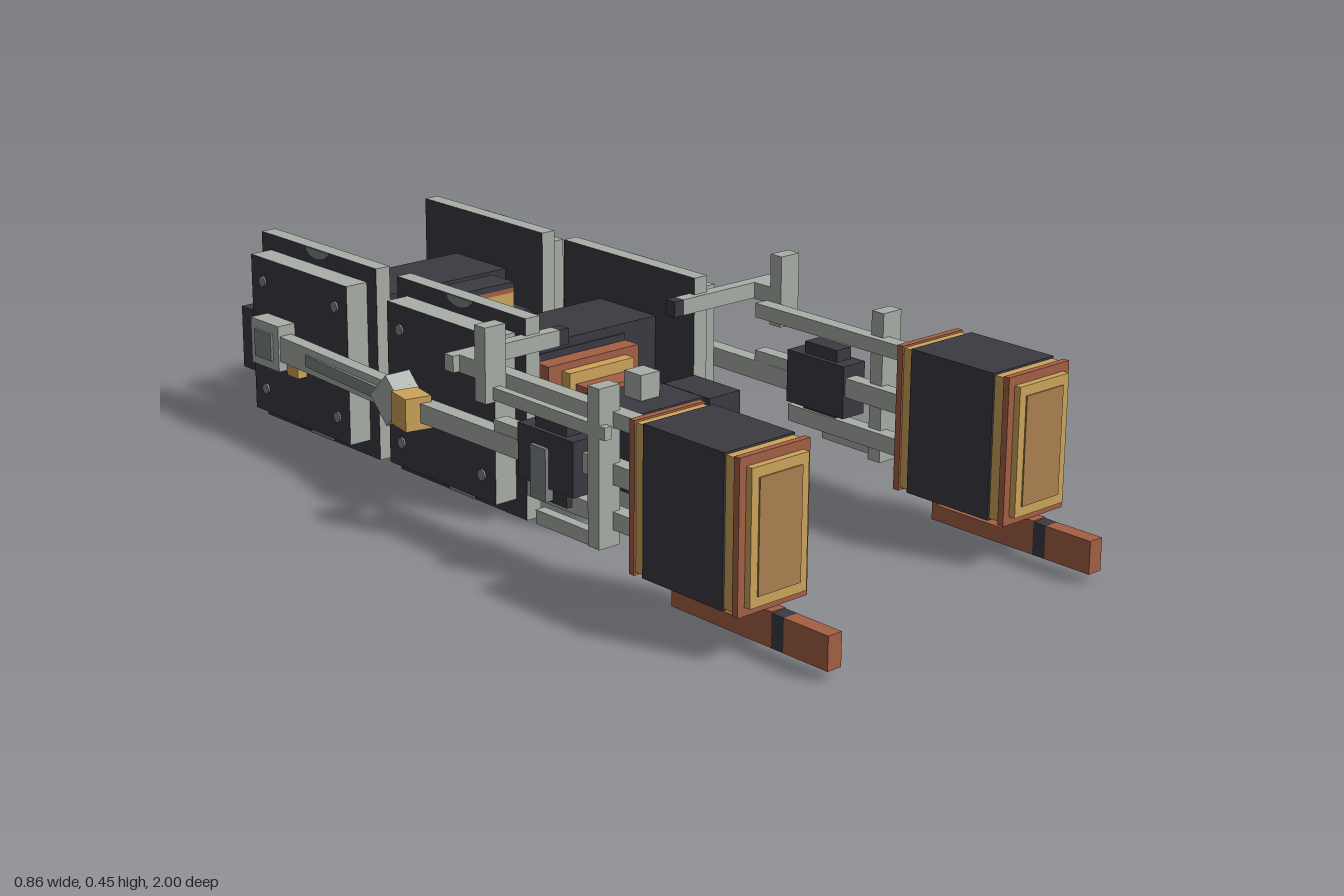
import * as THREE from 'three';

const mat = (name, color) => {
  const m = new THREE.MeshStandardMaterial({ color });
  m.name = name;
  return m;
};

export function createModel() {
  const dark = mat('dark steel', 0x3b3a42);
  const light = mat('light grey metal', 0xa9aea8);
  const grey = mat('mid grey metal', 0x7c8485);
  const gold = mat('gold', 0xcda55c);
  const bronze = mat('bronze', 0xac8150);
  const copper = mat('copper', 0xa45f45);
  const root = new THREE.Group();
  root.name = 'machine';

  // Box given by its limits on each axis
  const block = (parent, name, m, [x0, x1], [y0, y1], [z0, z1]) => {
    const mesh = new THREE.Mesh(
      new THREE.BoxGeometry(Math.abs(x1 - x0), y1 - y0, Math.abs(z1 - z0)), m);
    mesh.position.set((x0 + x1) / 2, (y0 + y1) / 2, (z0 + z1) / 2);
    mesh.name = name;
    parent.add(mesh);
    return mesh;
  };
  // Square bar between two points
  const bar = (parent, name, m, a, b, w, h) => {
    const p = new THREE.Vector3(...a), q = new THREE.Vector3(...b);
    const mesh = new THREE.Mesh(new THREE.BoxGeometry(w, h, p.distanceTo(q)), m);
    mesh.position.copy(p).add(q).multiplyScalar(0.5);
    mesh.lookAt(q);
    mesh.name = name;
    parent.add(mesh);
    return mesh;
  };
  // Cross-section with chamfered lower corners, extruded along z
  const pod = (parent, name, m, w, y0, y1, z0, z1, c) => {
    const s = new THREE.Shape([[-w, y1], [-w, y0 + c], [-w + c * 0.5, y0], [w - c * 0.5, y0], [w, y0 + c], [w, y1]]
      .map(([x, y]) => new THREE.Vector2(x, y)));
    const mesh = new THREE.Mesh(new THREE.ExtrudeGeometry(s, { depth: z1 - z0, bevelEnabled: false }), m);
    mesh.position.z = z0;
    mesh.name = name;
    parent.add(mesh);
  };

  // Central body: two pods with stepped gold and copper ends
  const body = new THREE.Group();
  body.name = 'body';
  root.add(body);
  for (const c of [-0.645, -0.155]) {
    pod(body, 'podCore', dark, 0.118, 0.06, 0.29, c - 0.09, c + 0.09, 0.08);
    pod(body, 'podCollar', gold, 0.112, 0.07, 0.265, c - 0.108, c + 0.108, 0.08);
    pod(body, 'podFrame', copper, 0.12, 0.06, 0.275, c - 0.13, c + 0.13, 0.08);
    pod(body, 'podEnd', gold, 0.085, 0.1, 0.26, c - 0.155, c + 0.155, 0.05);
    block(body, 'crossBlock', dark, [-0.205, 0.205], [0.07, 0.31], [c - 0.087, c + 0.087]);
    block(body, 'podBelly', dark, [-0.085, 0.085], [0.05, 0.1], [c - 0.15, c + 0.15]);
  }
  block(body, 'spine', copper, [-0.07, 0.07], [0.09, 0.235], [-0.85, 0.05]);
  block(body, 'spineRib', bronze, [-0.085, 0.085], [0.1, 0.225], [-0.505, -0.295]);
  // Raised coupling between the pods
  block(body, 'couplingFrame', copper, [-0.115, 0.115], [0.08, 0.26], [-0.47, -0.33]);
  block(body, 'couplingCollar', gold, [-0.11, 0.11], [0.1, 0.268], [-0.452, -0.348]);
  block(body, 'couplingBand', dark, [-0.117, 0.117], [0.07, 0.276], [-0.432, -0.368]);
  block(body, 'couplingTower', gold, [-0.07, 0.07], [0.27, 0.328], [-0.435, -0.365]);
  block(body, 'couplingTrim', copper, [-0.07, 0.07], [0.323, 0.333], [-0.436, -0.364]);
  block(body, 'couplingCap', dark, [-0.07, 0.07], [0.333, 0.346], [-0.436, -0.364]);

  // End blocks with knob and flanking boxes, front and back
  for (const z of [[0.035, 0.205], [-1, -0.83]]) {
    const mid = (z[0] + z[1]) / 2;
    block(body, 'endBlock', dark, [-0.087, 0.087], [0.055, 0.225], z);
    block(body, 'endKnob', light, [-0.025, 0.025], [0.225, 0.278], [mid - 0.025, mid + 0.025]);
    for (const s of [-1, 1])
      block(body, 'sideBlock', dark, [s * 0.12, s * 0.205], [0.07, 0.21], [mid - 0.068, mid + 0.068]);
  }

  const skin = (edge) => [dark, dark, edge, edge, edge, edge];
  const studGeo = new THREE.CylinderGeometry(0.012, 0.012, 0.006, 8).rotateZ(Math.PI / 2);
  for (const s of [-1, 1]) {
    const X = (a, b) => [s * a, s * b];
    const side = new THREE.Group();
    side.name = s > 0 ? 'leftSide' : 'rightSide';
    root.add(side);

    // Paired square side plates with studs and edge discs
    for (const c of [-0.637, -0.155]) {
      block(side, 'innerPlate', skin(light), X(0.205, 0.24), [0, 0.415], [c - 0.205, c + 0.205]);
      block(side, 'outerPlate', skin(light), X(0.24, 0.292), [0.036, 0.38], [c - 0.172, c + 0.172]);
      for (const dy of [-1, 1]) {
        for (const dz of [-1, 1]) {
          const stud = new THREE.Mesh(studGeo, grey);
          stud.position.set(s * 0.293, 0.208 + dy * 0.12, c + dz * 0.13);
          stud.name = 'stud';
          side.add(stud);
        }
        const disc = new THREE.Mesh(
          new THREE.CylinderGeometry(0.04, 0.04, 0.006, 10, 1, false, 0, Math.PI), grey);
        disc.rotation.set(0, 0, -dy * Math.PI / 2);
        disc.geometry.rotateY(Math.PI / 2);
        disc.geometry.dispose();
        disc.geometry = new THREE.ExtrudeGeometry(
          new THREE.Shape().absarc(0, 0, 0.04, 0, Math.PI, false), { depth: 0.005, bevelEnabled: false, curveSegments: 6 });
        disc.geometry.translate(0, 0, -0.0025).scale(1, 0.5, 1).rotateY(Math.PI / 2);
        disc.rotation.set(dy > 0 ? Math.PI : 0, 0, 0);
        disc.position.set(s * 0.241, 0.2075 + dy * 0.2065, c);
        disc.name = 'edgeDisc';
        side.add(disc);
      }
    }

    // Arm: shoulder, upper bar, elbow, forearm
    const arm = new THREE.Group();
    arm.name = 'arm';
    side.add(arm);
    block(arm, 'shoulder', light, X(0.285, 0.335), [0.16, 0.26], [-0.755, -0.655]);
    block(arm, 'shoulderCap', grey, X(0.335, 0.341), [0.18, 0.24], [-0.735, -0.675]);
    block(arm, 'shoulderPin', gold, X(0.29, 0.315), [0.15, 0.175], [-0.655, -0.615]);
    bar(arm, 'upperArm', light, [s * 0.315, 0.21, -0.67], [s * 0.34, 0.21, -0.21], 0.03, 0.055);
    bar(arm, 'upperArmRidge', grey, [s * 0.318, 0.21, -0.55], [s * 0.34, 0.21, -0.25], 0.045, 0.025);
    block(arm, 'elbow', light, X(0.31, 0.37), [0.17, 0.245], [-0.27, -0.195]).rotation.x = Math.PI / 4;
    block(arm, 'elbowPad', gold, X(0.335, 0.392), [0.172, 0.24], [-0.19, -0.125]).rotation.y = s * 0.2;
    bar(arm, 'forearm', light, [s * 0.35, 0.207, -0.2], [s * 0.345, 0.207, 0.3], 0.034, 0.04);
    for (const [y, h, z0] of [[0.335, 0.03, 0.1], [0.23, 0.04, 0.1], [0.14, 0.035, 0.2]])
      block(arm, 'forearmRod', light, X(0.33, 0.362), [y - h / 2, y + h / 2], [z0, 0.56]);
    block(arm, 'outerRail', light, X(0.378, 0.395), [0.305, 0.33], [0.1, 0.46]);
    block(arm, 'forearmCore', dark, X(0.325, 0.385), [0.165, 0.275], [0.2, 0.36]);
    block(arm, 'coreCap', dark, X(0.335, 0.375), [0.135, 0.3], [0.24, 0.33]);
    block(arm, 'coreClamp', grey, X(0.365, 0.393), [0.14, 0.245], [0.245, 0.29]);
    block(arm, 'forearmPost', light, X(0.345, 0.395), [0.09, 0.4], [0.413, 0.445]);
    block(arm, 'lowerRail', light, X(0.37, 0.392), [0.09, 0.118], [0.26, 0.44]);

    // Upright post and inward crossbar
    block(arm, 'uprightPost', light, X(0.363, 0.413), [0.3, 0.45], [0.108, 0.14]);
    block(arm, 'postLink', light, X(0.363, 0.413), [0.345, 0.38], [0.04, 0.11]);
    block(arm, 'crossbar', light, X(0.165, 0.428), [0.347, 0.38], [0.035, 0.062]);
    block(arm, 'crossbarTip', dark, X(0.14, 0.165), [0.347, 0.38], [0.035, 0.062]);

    // Heavy end block with framed gold faces
    const fist = new THREE.Group();
    fist.name = 'fist';
    arm.add(fist);
    block(fist, 'fistShell', dark, X(0.259, 0.428), [0.09, 0.381], [0.6, 0.808]);
    block(fist, 'fistCollar', gold, X(0.263, 0.424), [0.094, 0.377], [0.575, 0.835]);
    for (const [a, b] of [[0.564, 0.578], [0.832, 0.846]])
      block(fist, 'fistFrame', copper, X(0.259, 0.428), [0.088, 0.381], [a, b]);
    block(fist, 'fistFace', gold, X(0.275, 0.412), [0.105, 0.363], [0.55, 0.86]);
    block(fist, 'facePanel', bronze, X(0.292, 0.395), [0.125, 0.343], [0.547, 0.863]);

    // Blade slung below the fist
    const blade = new THREE.Group();
    blade.name = 'blade';
    arm.add(blade);
    block(blade, 'bladeRail', copper, X(0.328, 0.361), [0.02, 0.052], [0.605, 0.79]);
    block(blade, 'bladeHanger', copper, X(0.328, 0.361), [0.052, 0.095], [0.605, 0.618]);
    block(blade, 'bladeRoot', copper, X(0.328, 0.361), [0.02, 0.088], [0.785, 0.862]);
    block(blade, 'bladeBand', dark, X(0.328, 0.361), [0.02, 0.086], [0.862, 0.892]);
    block(blade, 'bladeTip', copper, X(0.328, 0.361), [0.02, 0.086], [0.892, 1]);
  }
  return root;
}
